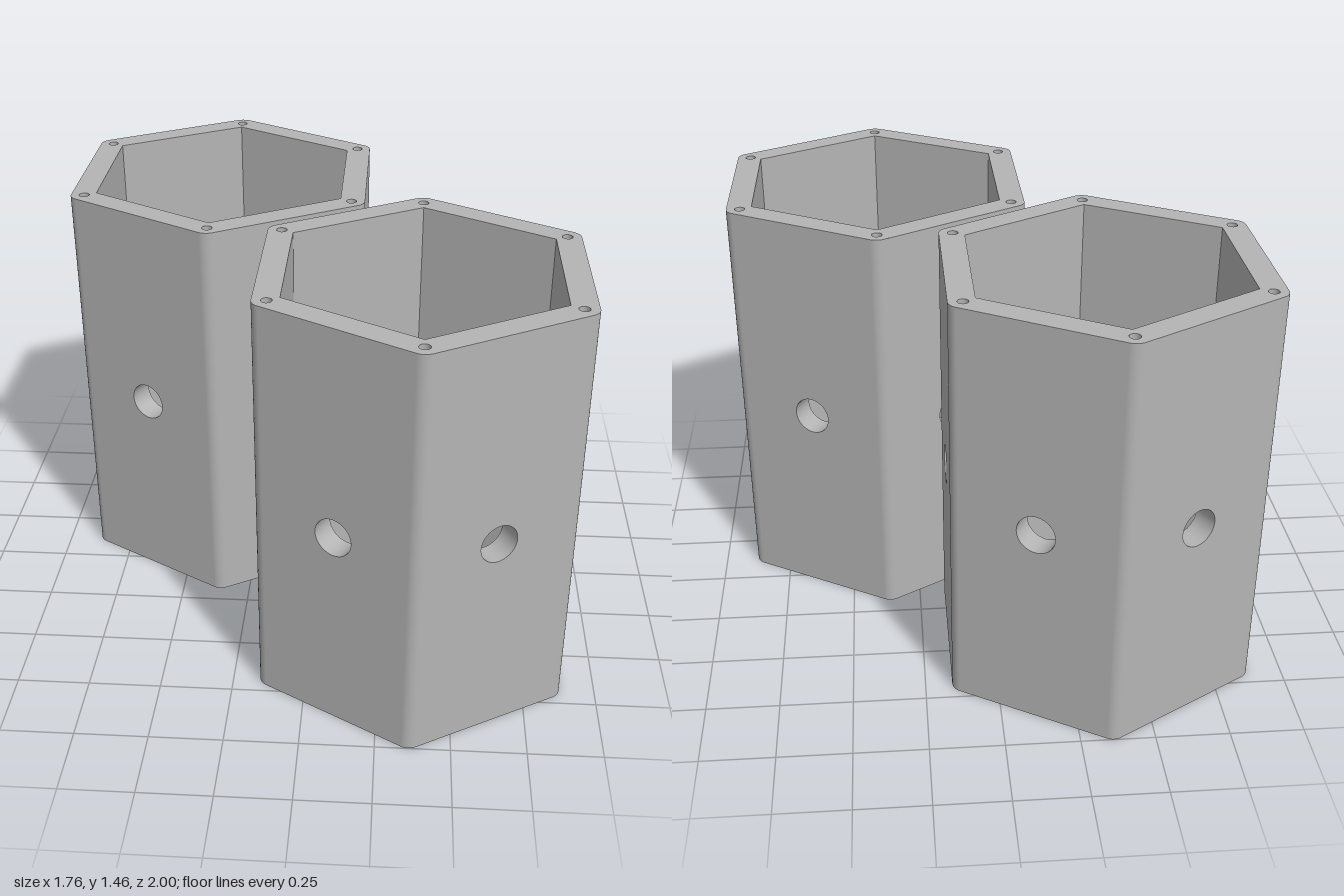
import * as THREE from 'three';

const H = 1.46;            // tube height
const OUT = 0.518;         // outer apothem
const INN = 0.432;         // inner apothem
const FILLET = 0.047;      // rounding of the outer edges
const CORNER = (OUT - FILLET) / Math.cos(Math.PI / 6); // fillet and screw hole centres
const BORE = 0.067;        // side hole radius
const SCREW = 0.018;       // screw hole radius
const DEPTH = 0.2;         // screw hole depth
const STEP = Math.PI / 3;

const grey = new THREE.MeshStandardMaterial({ color: 0xb4b4b4 });
grey.name = 'grey';

function add(parent, name, geometry, x = 0, y = 0, z = 0) {
  const mesh = new THREE.Mesh(geometry, grey);
  mesh.name = name;
  mesh.position.set(x, y, z);
  parent.add(mesh);
  return mesh;
}

function circlePath(x, y, r) {
  return new THREE.Path().absarc(x, y, r, 0, Math.PI * 2, true);
}

// Flat wall face with a round hole in the middle
function wallFace(width) {
  const w = width / 2, h = H / 2;
  const shape = new THREE.Shape([
    new THREE.Vector2(-w, -h), new THREE.Vector2(w, -h),
    new THREE.Vector2(w, h), new THREE.Vector2(-w, h),
  ]);
  shape.holes.push(circlePath(0, 0, BORE));
  return new THREE.ShapeGeometry(shape, 20);
}

// Inward-facing lining of a round hole, from y = top down to y = bottom
function holeLining(r, top, bottom, sides) {
  return new THREE.LatheGeometry([new THREE.Vector2(r, top), new THREE.Vector2(r, bottom)], sides);
}

// Hexagonal ring with rounded outer corners and six screw holes
function endRing() {
  const shape = new THREE.Shape();
  const inner = [];
  for (let k = 0; k < 6; k++) {
    const a = STEP * (k + 0.5), c = Math.cos(a), s = Math.sin(a);
    shape.absarc(CORNER * c, CORNER * s, FILLET, a - STEP / 2, a + STEP / 2, false);
    const r = INN / Math.cos(STEP / 2);
    inner.push(new THREE.Vector2(r * c, r * s));
    shape.holes.push(circlePath(CORNER * c, CORNER * s, SCREW));
  }
  shape.closePath();
  shape.holes.push(new THREE.Path(inner.reverse()));
  return new THREE.ShapeGeometry(shape, 8);
}

function hexTube(name, x, z) {
  const tube = new THREE.Group();
  tube.name = name;
  tube.position.set(x, 0, z);

  const outer = wallFace(2 * CORNER * Math.sin(STEP / 2));
  const inner = wallFace(2 * INN * Math.tan(STEP / 2)).rotateY(Math.PI);
  const bore = holeLining(BORE, OUT, INN, 40).rotateX(Math.PI / 2);
  const edge = new THREE.CylinderGeometry(FILLET, FILLET, H, 8, 1, true, 0, STEP);
  const screw = holeLining(SCREW, DEPTH / 2, -DEPTH / 2, 16);
  const floor = new THREE.CircleGeometry(SCREW, 16);
  const cx = CORNER * Math.sin(STEP / 2), cz = CORNER * Math.cos(STEP / 2);

  // Six walls, each with its side hole, one rounded edge and a screw hole at both ends
  for (let k = 0; k < 6; k++) {
    const side = new THREE.Group();
    side.name = 'side' + (k + 1);
    side.rotation.y = Math.PI / 2 + k * STEP;
    add(side, 'outerWall', outer, 0, H / 2, OUT);
    add(side, 'innerWall', inner, 0, H / 2, INN);
    add(side, 'sideHole', bore, 0, H / 2, 0);
    add(side, 'roundedEdge', edge, cx, H / 2, cz);
    add(side, 'topScrewHole', screw, cx, H - DEPTH / 2, cz);
    add(side, 'bottomScrewHole', screw, cx, DEPTH / 2, cz);
    add(side, 'topScrewHoleEnd', floor, cx, H - DEPTH, cz).rotation.x = -Math.PI / 2;
    add(side, 'bottomScrewHoleEnd', floor, cx, DEPTH, cz).rotation.x = Math.PI / 2;
    tube.add(side);
  }

  // Ring faces closing the wall thickness at both ends
  const ring = endRing();
  add(tube, 'topRim', ring, 0, H, 0).rotation.x = -Math.PI / 2;
  add(tube, 'bottomRim', ring).rotation.x = Math.PI / 2;
  return tube;
}

export function createModel() {
  const model = new THREE.Group();
  model.name = 'hexTubePair';
  model.add(hexTube('rearTube', -0.361, -0.408), hexTube('frontTube', 0.361, 0.408));
  return model;
}
